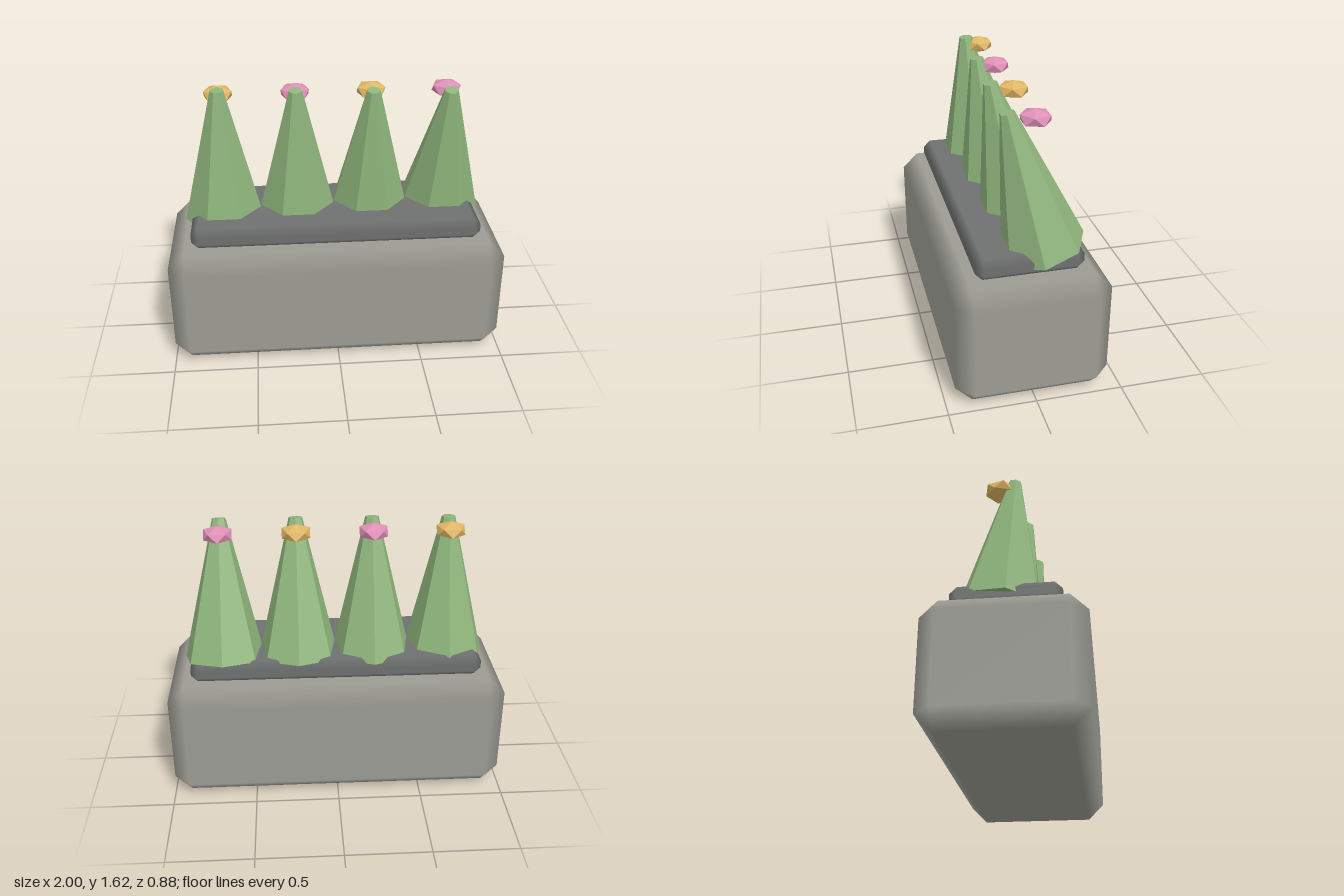
import * as THREE from 'three';
import { ConvexGeometry } from 'three/addons/geometries/ConvexGeometry.js';

// Box with single-step chamfers whose shading blends across the bevels
function chamferBox(w, h, d, c) {
  const half = [w / 2, h / 2, d / 2];
  const points = [];
  for (const sx of [-1, 1]) for (const sy of [-1, 1]) for (const sz of [-1, 1]) {
    const s = [sx, sy, sz];
    for (let axis = 0; axis < 3; axis++) {
      points.push(new THREE.Vector3(...s.map((v, k) => v * (half[k] - (k === axis ? 0 : c)))));
    }
  }
  const geo = new ConvexGeometry(points);
  const pos = geo.attributes.position;
  // every corner point lies on exactly one main face: use that face's normal
  for (let i = 0; i < pos.count; i++) {
    const p = [pos.getX(i), pos.getY(i), pos.getZ(i)];
    const n = p.map((v, k) => (Math.abs(Math.abs(v) - half[k]) < 1e-4 ? Math.sign(v) : 0));
    geo.attributes.normal.setXYZ(i, ...n);
  }
  return geo;
}

export function createModel() {
  const model = new THREE.Group();
  model.name = 'planterWithCacti';

  const material = (color, flatShading = false) => new THREE.MeshStandardMaterial({ color, flatShading });
  const green = material(0x8fb57c, true);
  const gold = material(0xdfb665, true);
  const pink = material(0xdf8fb6, true);

  const add = (name, geo, mat, x, y, z) => {
    const mesh = new THREE.Mesh(geo, mat);
    mesh.name = name;
    mesh.position.set(x, y, z);
    model.add(mesh);
    return mesh;
  };

  // Trough and soil slab
  add('planter', chamferBox(2, 0.725, 0.885, 0.097), material(0x9c9c94), 0, 0.3625, 0);
  add('soil', chamferBox(1.72, 0.13, 0.61, 0.042), material(0x6f7070), 0, 0.785, 0);

  // Seven-sided cactus with a corner at the back
  const cactusGeo = new THREE.CylinderGeometry(0.04, 0.243, 0.83, 7).rotateY(Math.PI);
  // Flattened icosahedron standing on a point
  const flowerGeo = new THREE.IcosahedronGeometry(0.095, 0)
    .rotateX(-Math.atan((1 + Math.sqrt(5)) / 2))
    .scale(1, 0.54, 1);

  // Row of cacti, leaning further forward towards +x
  [0.09, 0.155, 0.21, 0.255].forEach((tilt, i) => {
    const x = (i - 1.5) * 0.444;
    add('cactus' + (i + 1), cactusGeo, green, x, 1.2, -0.007).rotation.x = tilt;
    add('flower' + (i + 1), flowerGeo, i % 2 ? pink : gold, x, 1.56, -0.055);
  });

  return model;
}
